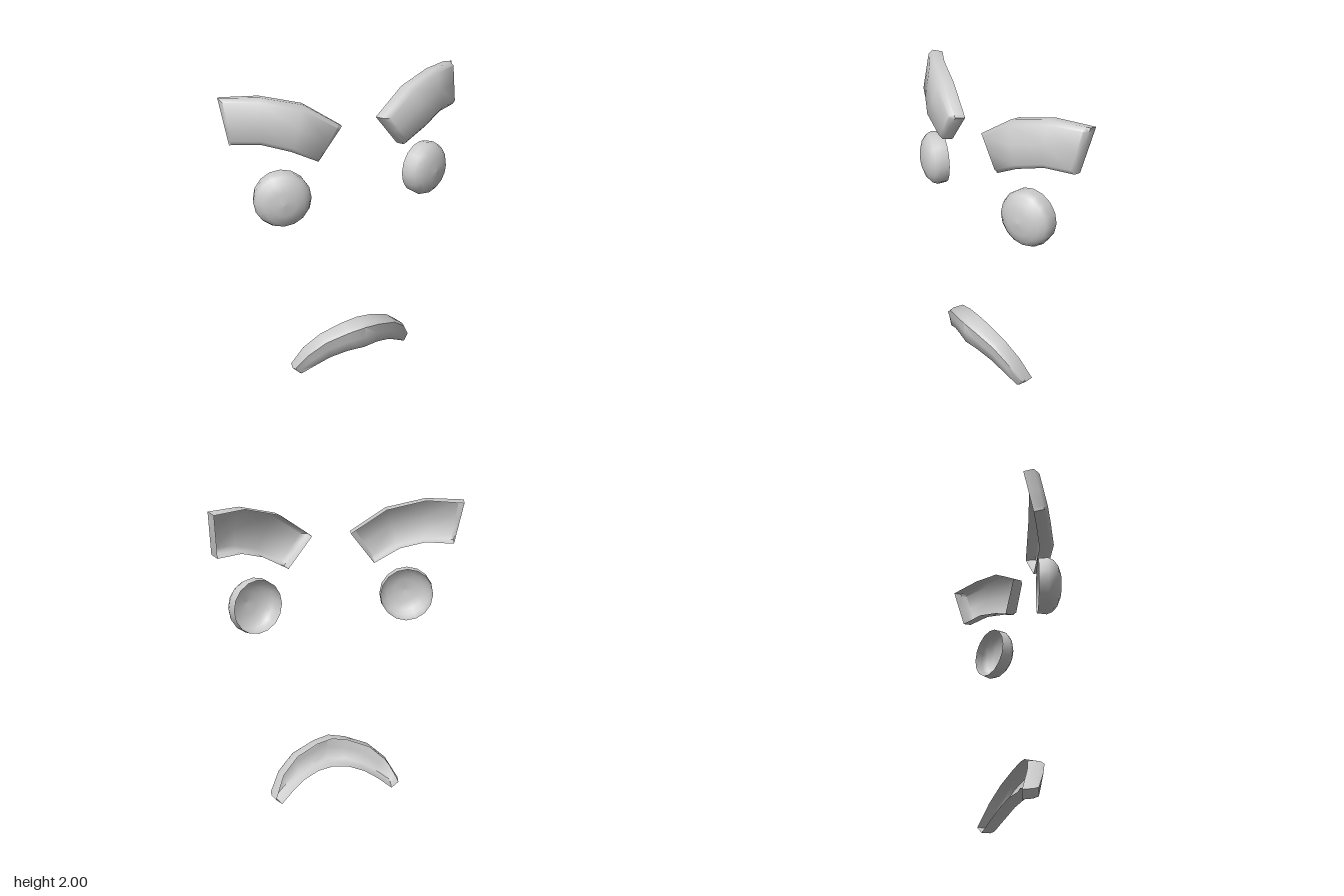
import * as THREE from 'three';
import { toCreasedNormals } from 'three/addons/utils/BufferGeometryUtils.js';

const material = new THREE.MeshStandardMaterial({ color: 0xcccccc, side: THREE.DoubleSide });

// Open-backed curved slab. Each station, in order of x, holds the top and bottom
// points of the back rim and the vector from the rim to the front face.
function shell(name, stations) {
  const s = stations.map(row => row.map(p => new THREE.Vector3(...p)));
  const blend = (a, b, t) => a.map((p, k) => p.clone().lerp(b[k], t));
  const n = s.length;
  const first = s[0], last = s[n - 1];
  // Walls and bevels at both ends, plain sections between
  const columns = [
    [first, 0], [first, 0.72], [blend(first, s[1], 0.1), 1],
    ...s.slice(1, -1).map(row => [row, 1]),
    [blend(last, s[n - 2], 0.1), 1], [last, 0.72], [last, 0],
  ];
  const across = [[0, 0], [0, 0.72], [0.09, 1], [0.5, 1.04], [0.91, 1], [1, 0.72], [1, 0]];
  const point = (i, j) => {
    const [[top, bottom, depth], du] = columns[i];
    const [v, dv] = across[j];
    return top.clone().lerp(bottom, v).addScaledVector(depth, Math.min(du, dv));
  };
  const positions = [];
  const triangle = (a, b, c) => {
    const area = b.clone().sub(a).cross(c.clone().sub(a)).length();
    if (area > 1e-7) for (const p of [a, b, c]) positions.push(p.x, p.y, p.z);
  };
  for (let i = 0; i < columns.length - 1; i++) {
    for (let j = 0; j < across.length - 1; j++) {
      const a = point(i, j), b = point(i, j + 1), c = point(i + 1, j + 1), d = point(i + 1, j);
      triangle(a, b, c);
      triangle(a, c, d);
    }
  }
  const geometry = new THREE.BufferGeometry();
  geometry.setAttribute('position', new THREE.Float32BufferAttribute(positions, 3));
  const mesh = new THREE.Mesh(toCreasedNormals(geometry, 1.1), material);
  mesh.name = name;
  return mesh;
}

// Mirrored stations, still in order of x
const mirror = stations => stations.map(row => row.map(([x, y, z]) => [-x, y, z])).reverse();

// Open-backed domed eye, turned outwards
function eye(name, side) {
  const profile = [[0.174, 0], [0.18, 0.06], [0.165, 0.095], [0.13, 0.125], [0.075, 0.145], [0, 0.152]]
    .map(([r, y]) => new THREE.Vector2(r, y));
  const geometry = new THREE.LatheGeometry(profile, 16);
  geometry.rotateX(Math.PI / 2);
  geometry.rotateY(side * 0.3);
  const mesh = new THREE.Mesh(geometry, material);
  mesh.name = name;
  mesh.position.set(side * 0.505, 1.36, 0.005);
  return mesh;
}

export function createModel() {
  const model = new THREE.Group();
  model.name = 'face';

  // Eyebrows
  const brow = [
    [[0.13, 1.78, 0.065], [0.29, 1.58, 0.06], [0.02, 0.01, 0.09]],
    [[0.35, 1.93, 0.005], [0.46, 1.67, 0.04], [0.025, 0.012, 0.098]],
    [[0.59, 1.99, -0.075], [0.61, 1.715, -0.035], [0.03, 0.012, 0.09]],
    [[0.80, 1.98, -0.19], [0.775, 1.71, -0.115], [0.035, 0.022, 0.085]],
  ];
  model.add(shell('leftEyebrow', brow), shell('rightEyebrow', mirror(brow)));

  // Eyes
  model.add(eye('leftEye', 1), eye('rightEye', -1));

  // Mouth
  const halfMouth = [
    [[0, 0.37, 0.065], [0, 0.17, 0.045], [0, -0.005, 0.12]],
    [[0.11, 0.35, 0.052], [0.11, 0.163, 0.025], [0.005, -0.005, 0.115]],
    [[0.26, 0.29, 0.02], [0.215, 0.125, 0], [0.012, 0, 0.105]],
    [[0.37, 0.19, -0.025], [0.305, 0.07, -0.03], [0.018, 0, 0.098]],
    [[0.44, 0.045, -0.082], [0.395, 0, -0.065], [0.024, 0.01, 0.09]],
  ];
  model.add(shell('mouth', [...mirror(halfMouth.slice(1)), ...halfMouth]));

  return model;
}
